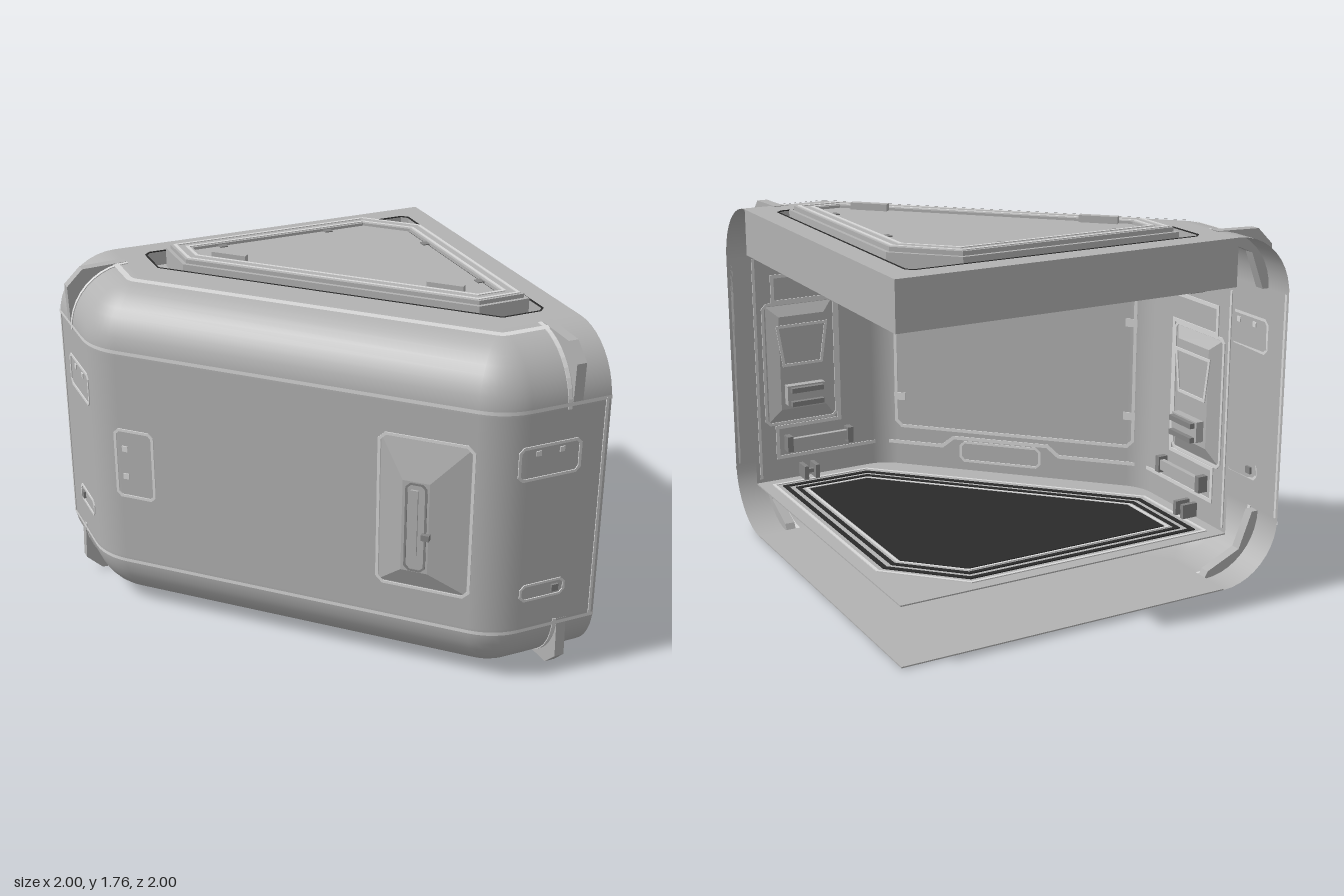
import * as THREE from 'three';

const paint = (name, color) => {
  const m = new THREE.MeshStandardMaterial({ color, side: THREE.DoubleSide });
  m.name = name;
  return m;
};
const HULL = paint('hull grey', 0xb2b2b2), TRIM = paint('light trim', 0xd8d8d8);
const DARK = paint('black panel', 0x2b2b2b), METAL = paint('fitting grey', 0x858585);
const H = 1.695, R = 0.3, V2 = THREE.Vector2;

function add(parent, name, geometry, material, x = 0, y = 0, z = 0) {
  const m = new THREE.Mesh(geometry, material);
  m.name = name;
  m.position.set(x, y, z);
  parent.add(m);
  return m;
}
const box = (g, name, mat, w, h, d, x, y, z) => add(g, name, new THREE.BoxGeometry(w, h, d), mat, x, y, z);

// Plan line: side wall, 45 degree wall, front wall, with two rounded bends
function plan(L, c, r, end = 1) {
  const out = [{ x: -L, z: -end, nx: -1, nz: 0 }];
  const cx = -L + r, cz = c - L - r * Math.tan(Math.PI / 8);
  for (let k = 0; k < 2; k++) for (let i = 0; i <= 6; i++) {
    const a = (k + i / 6) * Math.PI / 4, nx = -Math.cos(a), nz = Math.sin(a);
    out.push({ x: (k ? -cz : cx) + r * nx, z: (k ? -cx : cz) + r * nz, nx, nz });
  }
  out.push({ x: end, z: L, nx: 0, nz: 1 });
  return out;
}
const inset = (path, d) => path.map(p => [p.x - p.nx * d, p.z - p.nz * d]);

// Sweeps a profile of [inset, y, outward normal, up normal] along a plan line
function sweep(path, profile) {
  const pos = [], nor = [], idx = [], n = profile.length;
  path.forEach((p, j) => profile.forEach(([d, y, o, u], i) => {
    pos.push(p.x - p.nx * d, y, p.z - p.nz * d);
    nor.push(p.nx * o, u, p.nz * o);
    if (j && i) {
      const b = j * n + i - 1, a = b - n;
      idx.push(a, b, a + 1, b, b + 1, a + 1);
    }
  }));
  const g = new THREE.BufferGeometry();
  g.setAttribute('position', new THREE.Float32BufferAttribute(pos, 3));
  g.setAttribute('normal', new THREE.Float32BufferAttribute(nor, 3));
  g.setIndex(idx);
  return g;
}

// Mitred offset of a polyline, towards its left side
function offset(pts, d, closed = true) {
  const n = pts.length, dir = (a, b) => new V2(b[0] - a[0], b[1] - a[1]).normalize();
  return pts.map((p, i) => {
    let a = closed || i > 0 ? dir(pts[(i + n - 1) % n], p) : null;
    const b = closed || i < n - 1 ? dir(p, pts[(i + 1) % n]) : a;
    a = a || b;
    const k = d / (1 + a.dot(b));
    return [p[0] - (a.y + b.y) * k, p[1] + (a.x + b.x) * k];
  });
}
const vec = pts => pts.map(p => new V2(p[0], p[1]));
function solid(pts, depth, hole) {
  const s = new THREE.Shape(vec(pts));
  if (hole) s.holes.push(new THREE.Path(vec(hole)));
  return new THREE.ExtrudeGeometry(s, { depth, bevelEnabled: false, curveSegments: 10 });
}
// Horizontal slab with its top at the given height
const slab = (g, name, mat, pts, top, depth, hole) => add(g, name, solid(pts, depth, hole).rotateX(Math.PI / 2), mat, 0, top, 0);
// Thin painted line on a wall
function line(g, pts, z, closed = false, w = 0.018, mat = TRIM) {
  const a = offset(pts, w / 2, closed), b = offset(pts, -w / 2, closed);
  return add(g, 'trimLine', closed ? solid(b, 0.005, a) : solid([...a, ...b.reverse()], 0.005), mat, 0, 0, z);
}
const rect = (x0, y0, x1, y1, c = 0.02) => [[x0 + c, y0], [x1 - c, y0], [x1, y0 + c], [x1, y1 - c],
  [x1 - c, y1], [x0 + c, y1], [x0, y1 - c], [x0, y0 + c]];

// Raised panel with sloping sides from a base rectangle to a top rectangle
function frustum([a, b, c, d], [e, f, g, h], depth) {
  const p = [a, b, 0, c, b, 0, c, d, 0, a, d, 0, e, f, depth, g, f, depth, g, h, depth, e, h, depth];
  const ix = [4, 5, 6, 4, 6, 7];
  for (let i = 0; i < 4; i++) {
    const j = (i + 1) % 4;
    ix.push(i, j, 4 + j, i, 4 + j, 4 + i);
  }
  const geo = new THREE.BufferGeometry();
  geo.setAttribute('position', new THREE.Float32BufferAttribute(p, 3));
  geo.setIndex(ix);
  const flat = geo.toNonIndexed();
  flat.computeVertexNormals();
  return flat;
}
function wall(parent, name, angle) {
  const g = new THREE.Group();
  g.name = name;
  g.rotation.y = angle;
  parent.add(g);
  return g;
}

export function createModel() {
  const model = new THREE.Group();
  model.name = 'cornerModule';
  const outer = plan(0.985, 0.52, 0.31), inner = plan(0.68, 0.38, 0.2);

  // Outer shell with rounded top and bottom
  const prof = [];
  for (let s = 0; s < 2; s++) for (let i = 0; i <= 10; i++) {
    const a = (s ? i / 10 : i / 10 - 1) * Math.PI / 2;
    prof.push([R - R * Math.cos(a), (s ? H - R : R) + R * Math.sin(a), Math.cos(a), Math.sin(a)]);
  }
  add(model, 'outerShell', sweep(outer, prof), HULL);
  const band = (path, d0, y0, d1, y1, o, u) => add(model, 'shellTrim', sweep(path, [[d0, y0, o, u], [d1, y1, o, u]]), TRIM);
  const edge = plan(0.985, 0.52, 0.31, 0.8);
  for (const y of [0.27, 1.41]) band(outer, -0.004, y, -0.004, y + 0.018, 1, 0);
  band(edge, 0.232, 1.691, 0.258, 1.697, 0, 1);
  band(edge, 0.258, -0.002, 0.232, 0.004, 0, -1);

  // Bottom skin, floor, ceiling and inner wall
  const apex = [1, -1], plate = [...inset(outer, R), apex], room = [...inset(inner, 0), apex];
  const hatch = [[-0.46, -0.86], [0.62, -0.86], [0.86, -0.62], [0.86, 0.46], [0.6, 0.46], [-0.46, -0.6]];
  const well = [[-0.54, -0.89], [0.86, -0.89], [0.89, -0.86], [0.89, 0.54], [0.86, 0.57], [0.66, 0.57],
    [-0.57, -0.66], [-0.57, -0.86]];
  slab(model, 'bottomSkin', HULL, plate, 0.006, 0.006);
  slab(model, 'floor', HULL, room, 0.29, 0.006);
  slab(model, 'ceiling', HULL, room, 1.476, 0.006, hatch);
  add(model, 'innerWall', sweep(inner, [[0, 0.29, 1, 0], [0, 1.475, 1, 0]]), HULL);

  // Floor inlay
  const inlay = [[-0.55, -0.87], [0.6, -0.87], [0.87, -0.6], [0.87, 0.55], [0.45, 0.55], [-0.55, -0.45]];
  [[-0.07, TRIM, 0.015], [-0.03, DARK, 0.022], [0.02, DARK, 0.02], [0.055, TRIM, 0.012]].forEach(([d, mat, w]) =>
    slab(model, 'floorLine', mat, offset(inlay, d), 0.295, 0.005, offset(inlay, d + w)));
  slab(model, 'floorPanel', DARK, offset(inlay, 0.075), 0.295, 0.005);

  // Roof with a sunken well and two outer edge faces
  slab(model, 'roof', HULL, plate, H, 0.075, well);
  slab(model, 'wellFloor', HULL, offset(well, -0.02), 1.62, 0.006);
  box(model, 'roofEdge', HULL, 0.006, H - 1.47, 1.685, 0.997, (H + 1.47) / 2, -0.1575);
  box(model, 'roofEdge', HULL, 1.685, H - 1.47, 0.006, 0.1575, (H + 1.47) / 2, -0.997);
  slab(model, 'wellLine', DARK, well, H + 0.002, 0.004, offset(well, 0.008));

  // Roof hatch
  const lid = offset(hatch, 0.105);
  slab(model, 'hatchBase', HULL, hatch, 1.718, 0.1);
  slab(model, 'hatchRing', HULL, offset(hatch, 0.018), 1.738, 0.022, lid);
  slab(model, 'hatchTrim', TRIM, offset(hatch, 0.03), 1.742, 0.005, offset(hatch, 0.045));
  slab(model, 'hatchTrim', TRIM, offset(hatch, 0.078), 1.742, 0.005, offset(hatch, 0.093));
  slab(model, 'hatchSeam', DARK, lid, 1.722, 0.005, offset(lid, 0.01));
  slab(model, 'hatchPanel', HULL, offset(lid, 0.01), 1.728, 0.012);
  for (const t of [0, 1]) {
    const h = box(model, 'hatchHandle', HULL, 0.18, 0.035, 0.035, -0.235 + 0.78 * t, 1.743, -0.55 + 0.78 * t);
    h.rotation.y = -Math.PI / 4;
  }
  for (const x of [-0.2, 0.37]) {
    box(model, 'hatchClip', METAL, 0.04, 0.008, 0.035, x, 1.729, -0.738);
    box(model, 'hatchClip', METAL, 0.035, 0.008, 0.04, 0.738, 1.729, -x);
  }

  // Underside of the hatch
  slab(model, 'hatchWell', HULL, offset(hatch, -0.004), 1.62, 0.144, hatch);
  slab(model, 'hatchSeal', DARK, hatch, 1.56, 0.02, offset(hatch, 0.035));
  slab(model, 'hatchUnderside', HULL, offset(hatch, 0.035), 1.56, 0.03);
  slab(model, 'hatchUndersideTrim', TRIM, offset(hatch, 0.1), 1.53, 0.005, offset(hatch, 0.112));
  box(model, 'hatchSlot', DARK, 0.75, 0.008, 0.09, 0.14, 1.528, -0.14).rotation.y = -Math.PI / 4;

  // Front and side walls, mirrored about the diagonal
  const guard = [[0.985, 1.4], [0.992, 1.61], [0.91, 1.69], [0.68, 1.698], [0.7, 1.66], [0.88, 1.58], [0.95, 1.4]];
  for (const s of [1, -1]) {
    const o = wall(model, s > 0 ? 'frontWall' : 'sideWall', s > 0 ? 0 : -Math.PI / 2), z = 0.985;
    line(o, rect(s * 0.7 - 0.155, 1.08, s * 0.7 + 0.155, 1.24), z, true, 0.014);
    line(o, rect(s * 0.705 - 0.115, 0.44, s * 0.705 + 0.115, 0.52), z, true, 0.012);
    box(o, 'clasp', METAL, 0.035, 0.035, 0.024, s * 0.77, 0.48, z);
    for (const x of [0.64, 0.76]) box(o, 'rivet', TRIM, 0.025, 0.025, 0.01, s * x, 1.205, z);
    line(o, [[s * 0.978, 0.28], [s * 0.978, 1.42]], z, false, 0.014);
    for (const top of [true, false]) {
      const fy = y => top ? y : H - y;
      const g = solid(guard.map(([r, y]) => [r, fy(y)]), 0.05).rotateY(-Math.PI / 2);
      add(o, 'cornerGuard', g, HULL, s * 0.825 + 0.025, 0, 0);
      const arc = [];
      for (const rad of [0.304, 0.295]) for (let i = 0; i <= 10; i++) {
        const a = (rad > R ? i : 10 - i) / 10 * Math.PI / 2;
        arc.push([0.685 + rad * Math.cos(a), fy(H - R + rad * Math.sin(a))]);
      }
      add(o, 'guardTrim', solid(arc, 0.02).rotateY(-Math.PI / 2), TRIM, s * 0.785 + 0.01, 0, 0);
    }

    // Inner wall console, grab bar and hinges
    const n = wall(model, s > 0 ? 'innerSideWall' : 'innerFrontWall', s > 0 ? Math.PI / 2 : Math.PI), w = -0.68;
    const mid = s * 0.745;
    line(n, [[0.32, 1.35], [0.88, 1.35], [0.88, 1.22], [0.54, 1.22], [0.54, 0.57], [0.88, 0.57], [0.88, 0.41],
      [0.32, 0.41]].map(([x, y]) => [s * x, y]), w);
    line(n, [[s * 0.975, 0.31], [s * 0.975, 1.45]], w, false, 0.014);
    add(n, 'console', frustum([mid - 0.175, 0.6, mid + 0.175, 1.2], [mid - 0.12, 0.67, mid + 0.12, 1.15], 0.035), HULL, 0, 0, w);
    line(n, [[mid - 0.1, 0.9], [mid + 0.1, 0.9], [mid + 0.13, 1.1], [mid - 0.13, 1.1]], w + 0.035, true, 0.014);
    line(n, rect(mid - 0.19, 0.59, mid + 0.19, 1.21), w, true, 0.014);
    box(n, 'consoleLatch', HULL, 0.2, 0.1, 0.05, mid, 0.75, w + 0.05);
    for (const y of [0.71, 0.78]) box(n, 'latchBar', METAL, 0.17, 0.025, 0.03, mid, y, w + 0.085);
    box(n, 'grabBar', HULL, 0.35, 0.05, 0.025, s * 0.665, 0.485, w + 0.03);
    for (const x of [0.5, 0.83]) box(n, 'grabBarEnd', METAL, 0.03, 0.08, 0.05, s * x, 0.485, w + 0.025);
    for (const y of [0.33, 1.435]) {
      for (const x of [-0.03, 0.03]) box(n, 'hingeLug', METAL, 0.022, 0.07, 0.08, s * 0.73 + x, y, w + 0.04);
      box(n, 'hingePin', METAL, 0.06, 0.02, 0.02, s * 0.73, y, w + 0.045);
    }
  }

  // Outer diagonal wall with the raised latch housing
  const d = wall(model, 'diagonalWall', -Math.PI / 4), dz = 0.3677;
  add(d, 'latchHousing', frustum([0.45, 0.47, 0.88, 1.23], [0.57, 0.57, 0.7, 1.04], 0.042), HULL, 0, 0, dz);
  line(d, rect(0.44, 0.46, 0.89, 1.24, 0.03), dz, true, 0.014);
  line(d, rect(0.59, 0.58, 0.685, 1.03), dz + 0.042, true, 0.01, METAL);
  box(d, 'latchBar', HULL, 0.035, 0.34, 0.012, 0.63, 0.83, dz + 0.046);
  box(d, 'latch', METAL, 0.04, 0.03, 0.03, 0.69, 0.77, dz + 0.05);
  line(d, rect(-0.92, 0.65, -0.72, 1.01), dz, true, 0.014);
  for (const y of [0.76, 0.91]) box(d, 'rivet', TRIM, 0.03, 0.03, 0.01, -0.87, y, dz);

  // Inner diagonal wall panel
  const p = wall(model, 'innerDiagonalWall', Math.PI * 0.75), pz = -0.2687;
  line(p, rect(-0.61, 0.5, 0.64, 1.31, 0.03), pz, true, 0.016);
  line(p, [[-0.68, 1.35], [0.68, 1.35]], pz);
  line(p, [[-0.68, 0.41], [-0.36, 0.41], [-0.3, 0.46], [0.2, 0.46], [0.26, 0.41], [0.68, 0.41]], pz);
  line(p, rect(-0.26, 0.34, 0.16, 0.44), pz, true, 0.012);
  for (const x of [-0.59, 0.62]) for (const y of [0.66, 1.14]) box(p, 'panelClip', TRIM, 0.06, 0.04, 0.01, x, y, pz);
  box(p, 'overheadBar', METAL, 0.26, 0.035, 0.035, 0.03, 1.44, pz + 0.06);
  for (const x of [-0.1, 0.16]) box(p, 'overheadBarEnd', METAL, 0.045, 0.055, 0.08, x, 1.44, pz + 0.04);
  return model;
}
